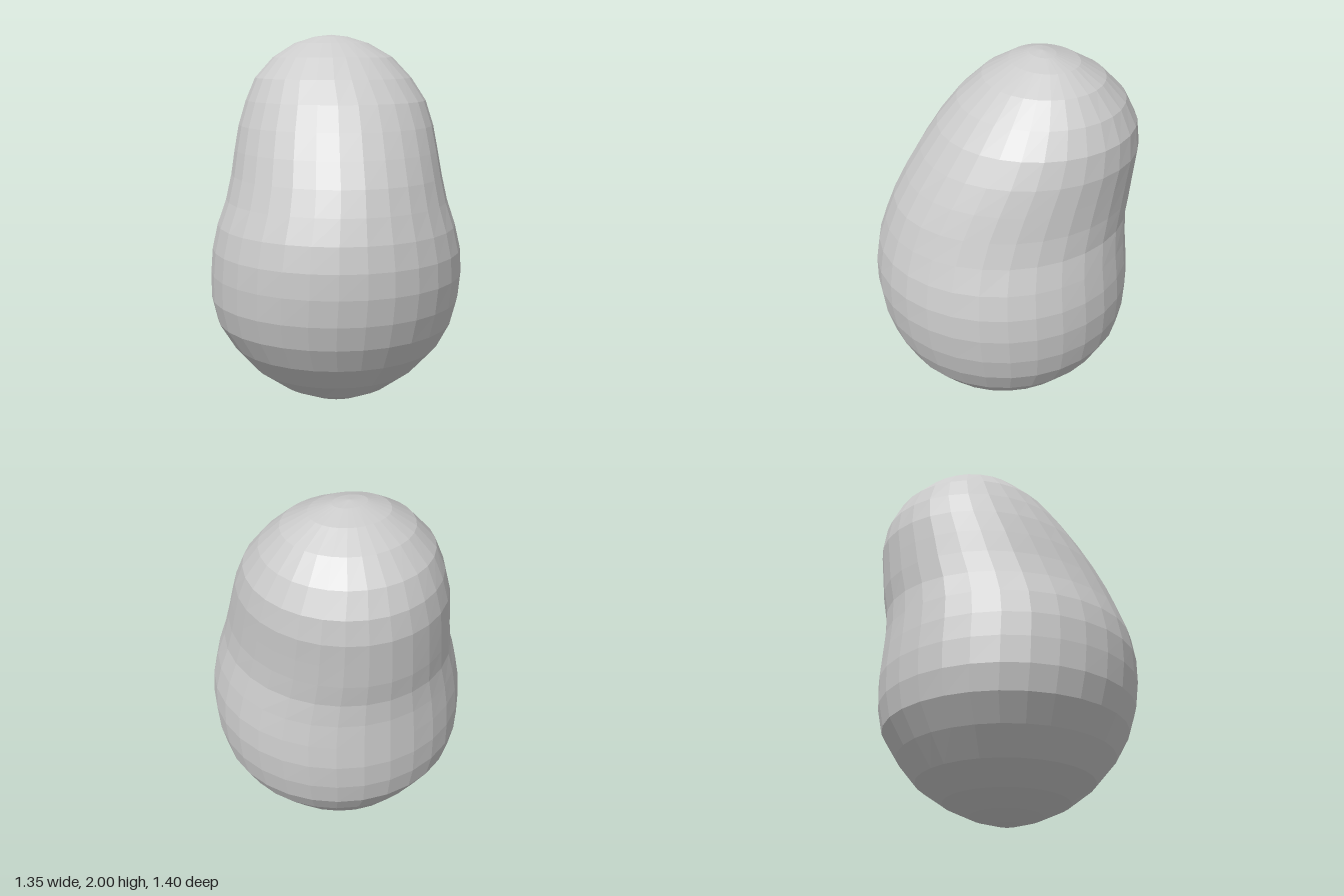
import * as THREE from 'three';

// Cross-sections from bottom to top: height, x min, x max, z back, z front
const SECTIONS = [
  [0.01, -0.06, 0.07, -0.06, 0.07],
  [0.045, -0.18, 0.18, -0.19, 0.19],
  [0.11, -0.32, 0.31, -0.33, 0.33],
  [0.21, -0.46, 0.45, -0.47, 0.46],
  [0.34, -0.57, 0.57, -0.57, 0.57],
  [0.47, -0.65, 0.64, -0.65, 0.64],
  [0.60, -0.68, 0.67, -0.675, 0.68],
  [0.74, -0.68, 0.68, -0.68, 0.70],
  [0.87, -0.67, 0.67, -0.67, 0.70],
  [1.00, -0.64, 0.64, -0.66, 0.68],
  [1.13, -0.59, 0.60, -0.66, 0.64],
  [1.26, -0.555, 0.58, -0.68, 0.59],
  [1.39, -0.53, 0.57, -0.69, 0.52],
  [1.52, -0.50, 0.56, -0.70, 0.44],
  [1.65, -0.455, 0.53, -0.68, 0.35],
  [1.77, -0.40, 0.46, -0.62, 0.24],
  [1.88, -0.30, 0.36, -0.51, 0.11],
  [1.955, -0.18, 0.23, -0.38, -0.03],
  [1.99, -0.07, 0.11, -0.26, -0.13],
];
const SIDES = 30;

// Skin elliptical rings and close both ends with a fan
function loft(sections, sides) {
  const positions = [], index = [];
  for (const [y, x0, x1, z0, z1] of sections) {
    for (let j = 0; j < sides; j++) {
      const a = (j / sides) * Math.PI * 2;
      positions.push(
        (x0 + x1) / 2 + ((x1 - x0) / 2) * Math.sin(a),
        y,
        (z0 + z1) / 2 + ((z1 - z0) / 2) * Math.cos(a));
    }
  }
  const last = sections.length - 1;
  const bottom = sections.length * sides, top = bottom + 1;
  positions.push(0, 0, 0, 0.02, 2, -0.195);
  for (let j = 0; j < sides; j++) {
    const k = (j + 1) % sides;
    for (let i = 0; i < last; i++) {
      const a = i * sides + j, b = i * sides + k;
      index.push(a, b, b + sides, a, b + sides, a + sides);
    }
    index.push(bottom, k, j, top, last * sides + j, last * sides + k);
  }
  const geometry = new THREE.BufferGeometry();
  geometry.setAttribute('position', new THREE.Float32BufferAttribute(positions, 3));
  geometry.setIndex(index);
  const faceted = geometry.toNonIndexed();
  faceted.computeVertexNormals();
  return faceted;
}

export function createModel() {
  const group = new THREE.Group();
  group.name = 'potato';
  // Lumpy body: broad base, leaning back towards a narrower crown
  const body = new THREE.Mesh(
    loft(SECTIONS, SIDES),
    new THREE.MeshStandardMaterial({ color: 0xcccccc, flatShading: true }));
  body.name = 'potatoBody';
  group.add(body);
  return group;
}
